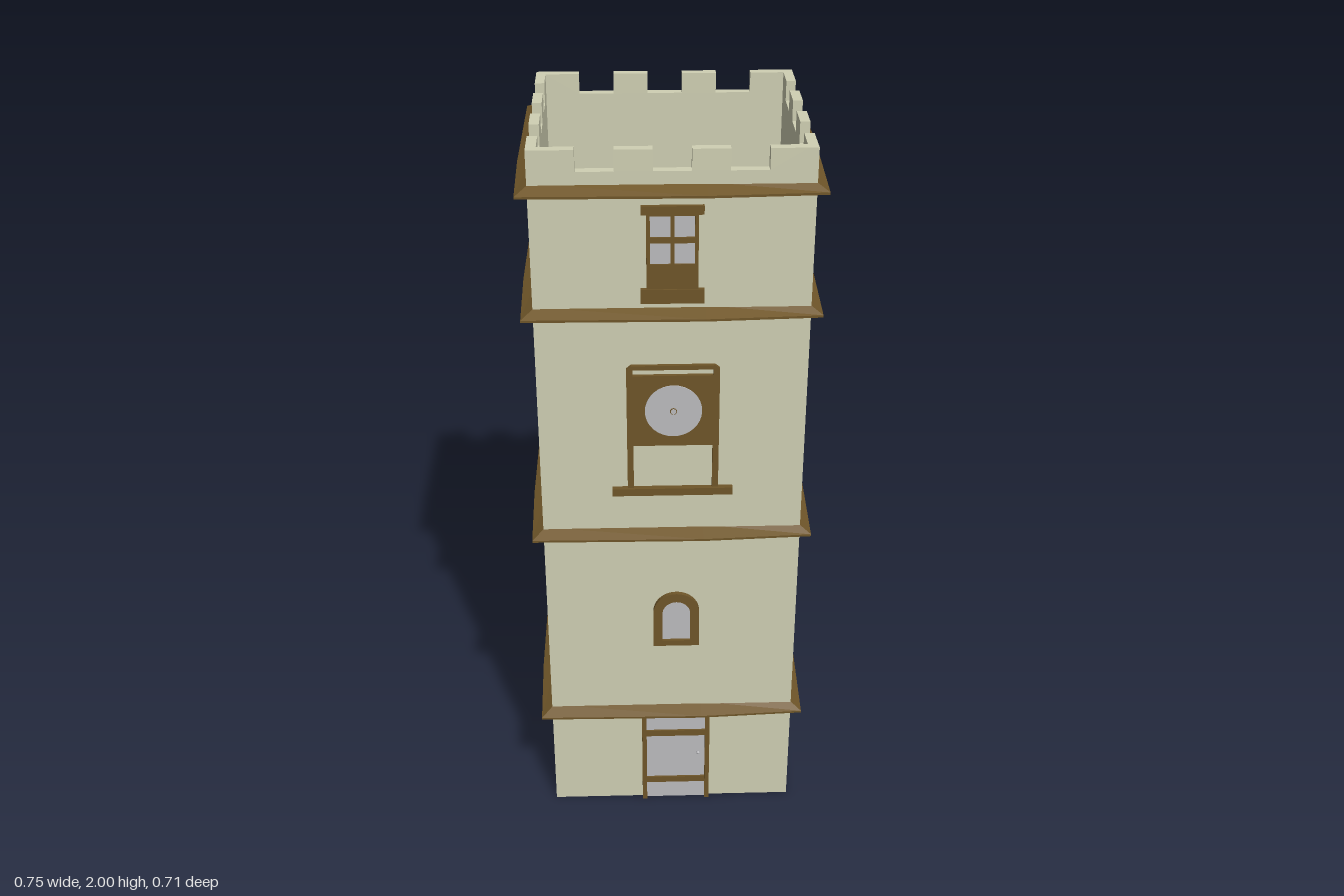
import * as THREE from 'three';

const paint = (name, color) => {
  const m = new THREE.MeshStandardMaterial({ color });
  m.name = name;
  return m;
};

// Tower footprint
const X0 = -0.345, X1 = 0.34, Z0 = -0.32, Z1 = 0.315, WALL = 0.025;
const CX = (X0 + X1) / 2, CZ = (Z0 + Z1) / 2;
const TOP = 2, NOTCH = 1.947;

export function createModel() {
  const stone = paint('stone', 0xd0d0b4);
  const wood = paint('wood', 0x6f5629);
  const glass = paint('glass', 0xbcbcbf);
  const tower = new THREE.Group();
  tower.name = 'tower';

  const add = (parent, name, geometry, material, x = 0, y = 0, z = 0) => {
    const mesh = new THREE.Mesh(geometry, material);
    mesh.name = name;
    mesh.position.set(x, y, z);
    parent.add(mesh);
    return mesh;
  };
  // Plate lying on a wall, from its edges, standing out by depth
  const plate = (parent, name, material, x0, x1, y0, y1, depth, base = 0) =>
    add(parent, name, new THREE.BoxGeometry(x1 - x0, y1 - y0, depth), material,
      (x0 + x1) / 2, (y0 + y1) / 2, base + depth / 2);
  const slab = (shape, depth) =>
    new THREE.ExtrudeGeometry(shape, { depth, bevelEnabled: false, curveSegments: 10 });
  const rect = (x0, x1, y0, y1, Type = THREE.Shape) => new Type([
    [x0, y0], [x1, y0], [x1, y1], [x0, y1]].map(p => new THREE.Vector2(...p)));
  const arch = (half, y0, spring, Type = THREE.Shape) => {
    const s = new Type();
    s.moveTo(-half, y0);
    s.lineTo(half, y0);
    s.lineTo(half, spring);
    s.absarc(0, spring, half, 0, Math.PI, false);
    s.closePath();
    return s;
  };

  // One group per side: local z = 0 is the outer wall face, looking outward
  const side = (name, x, z, turn) => {
    const g = new THREE.Group();
    g.name = name;
    g.position.set(x, 0, z);
    g.rotation.y = turn;
    tower.add(g);
    return g;
  };
  const front = side('frontSide', CX, Z1, 0);
  const left = side('leftSide', X1, CZ, Math.PI / 2);
  const back = side('backSide', CX, Z0, Math.PI);
  const right = side('rightSide', X0, CZ, -Math.PI / 2);

  // Walls with battlements cut into the top edge
  const wall = (g, half, inset) => {
    const s = new THREE.Shape();
    const end = half - inset;
    s.moveTo(-end, 0);
    s.lineTo(end, 0);
    s.lineTo(end, TOP);
    for (const c of [0.183, 0, -0.183]) {
      const m = c * half / 0.3425, w = 0.046 * half / 0.3425;
      s.lineTo(m + w, TOP);
      s.lineTo(m + w, NOTCH);
      s.lineTo(m - w, NOTCH);
      s.lineTo(m - w, TOP);
    }
    s.lineTo(-end, TOP);
    s.closePath();
    add(g, 'wall', slab(s, WALL), stone, 0, 0, -WALL);
  };
  for (const g of [front, back]) wall(g, (X1 - X0) / 2, WALL);
  for (const g of [left, right]) wall(g, (Z1 - Z0) / 2, 0);

  // Sloped ledges with a slightly uneven outer edge
  const outer = [[-0.376, -0.35], [-0.07, -0.354], [0.362, -0.35], [0.376, -0.08],
    [0.368, 0.337], [0.08, 0.351], [-0.374, 0.345], [-0.379, 0.1]];
  const clamp = THREE.MathUtils.clamp;
  const sections = outer.map(([x, z]) => {
    const ix = clamp(x, X0 + 0.005, X1 - 0.005), iz = clamp(z, Z0 + 0.005, Z1 - 0.005);
    return [[ix, 0, iz], [x, 0, z], [x, 0.006, z], [ix, 0.025, iz]];
  });
  const corners = [];
  sections.forEach((a, i) => {
    const b = sections[(i + 1) % sections.length];
    for (let k = 0; k < 3; k++)
      corners.push(...a[k], ...a[k + 1], ...b[k + 1], ...a[k], ...b[k + 1], ...b[k]);
  });
  const ledge = new THREE.BufferGeometry();
  ledge.setAttribute('position', new THREE.Float32BufferAttribute(corners, 3));
  ledge.computeVertexNormals();
  for (const y of [0.325, 0.932, 1.575, 1.892]) add(tower, 'ledge', ledge, wood, 0, y, 0);

  // Arched windows and upper windows on every side
  const archFrame = arch(0.063, 0.567, 0.68);
  archFrame.holes.push(arch(0.038, 0.585, 0.678, THREE.Path));
  const archFrameGeo = slab(archFrame, 0.012);
  const archGlassGeo = slab(arch(0.04, 0.583, 0.678), 0.004);
  const sash = rect(-0.063, 0.063, 1.645, 1.845);
  for (const x of [-0.054, 0.005])
    for (const y of [1.715, 1.784])
      sash.holes.push(rect(x, x + 0.049, y, y + 0.054, THREE.Path));
  const sashGeo = slab(sash, 0.008);
  for (const [g, shift] of [[front, 0.012], [left, -0.012], [back, -0.015], [right, 0.015]]) {
    add(g, 'archedWindowFrame', archFrameGeo, wood, shift);
    add(g, 'archedWindowGlass', archGlassGeo, glass, shift);
    add(g, 'upperWindowFrame', sashGeo, wood);
    plate(g, 'upperWindowGlass', glass, -0.058, 0.058, 1.71, 1.842, 0.004);
    plate(g, 'upperWindowLintel', wood, -0.076, 0.076, 1.842, 1.864, 0.011);
    plate(g, 'upperWindowSill', wood, -0.078, 0.078, 1.613, 1.65, 0.012);
  }

  // Door
  plate(front, 'doorPanel', glass, -0.076, 0.1, 0, 0.318, 0.005);
  for (const x of [-0.086, 0.096]) plate(front, 'doorJamb', wood, x, x + 0.013, 0, 0.326, 0.015);
  for (const [y0, y1] of [[0.308, 0.326], [0.237, 0.257], [0.06, 0.08]])
    plate(front, 'doorRail', wood, -0.076, 0.1, y0, y1, 0.01);
  add(front, 'doorKnob', new THREE.SphereGeometry(0.005, 10, 8), glass, 0.077, 0.17, 0.008);

  // Clock in its wooden surround
  const surround = new THREE.Shape([[-0.118, 1.08], [-0.102, 1.08], [-0.102, 1.212],
    [0.102, 1.212], [0.102, 1.08], [0.118, 1.08], [0.118, 1.432], [0.106, 1.442],
    [-0.106, 1.442], [-0.118, 1.432]].map(p => new THREE.Vector2(...p)));
  surround.holes.push(rect(-0.102, 0.102, 1.414, 1.43, THREE.Path));
  add(front, 'clockSurround', slab(surround, 0.01), wood, 0.002);
  plate(front, 'clockSill', wood, -0.156, 0.158, 1.064, 1.085, 0.016);
  const disc = (name, r, depth, material) => {
    const geometry = new THREE.CylinderGeometry(r, r, depth, 32).rotateX(Math.PI / 2);
    add(front, name, geometry, material, 0.003, 1.314, depth / 2);
  };
  disc('clockFace', 0.073, 0.013, glass);
  disc('clockHubRing', 0.009, 0.0145, wood);
  disc('clockHub', 0.007, 0.016, glass);

  return tower;
}
